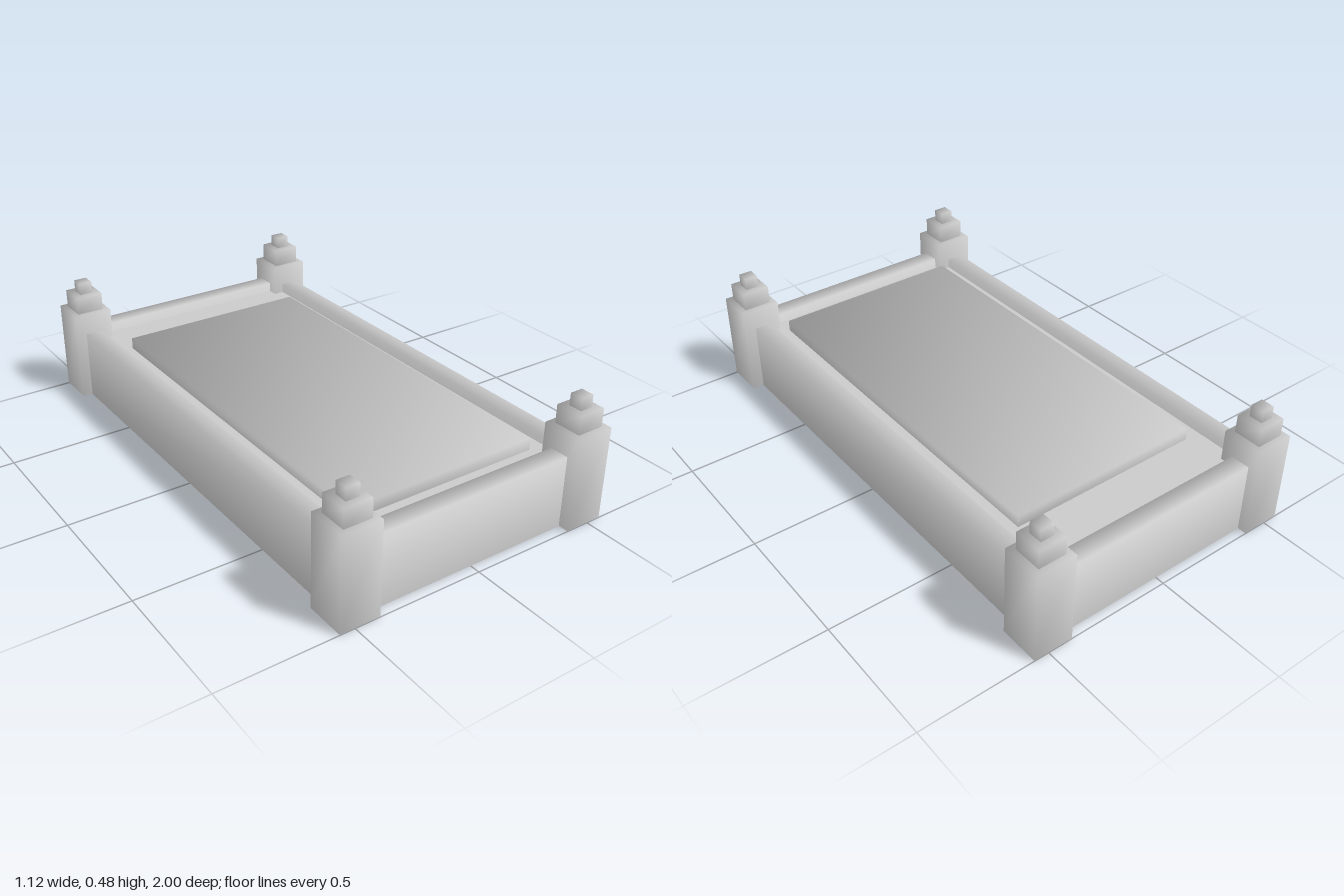
import * as THREE from 'three';

const material = new THREE.MeshStandardMaterial({ color: 0xcccccc, side: THREE.DoubleSide });

// Order of the sides in a BoxGeometry: six indices each
const SIDES = ['+x', '-x', '+y', '-y', '+z', '-z'];

// Hollow box between two corners without the listed sides, shaded smoothly over its edges
function shell(name, [x0, y0, z0], [x1, y1, z1], open) {
  const geo = new THREE.BoxGeometry(x1 - x0, y1 - y0, z1 - z0);
  const index = Array.from(geo.index.array);
  geo.setIndex(index.filter((_, i) => !open.includes(SIDES[Math.floor(i / 6)])));

  // each corner's normal is the mean of the sides that meet there
  const { position, normal } = geo.attributes;
  const n = new THREE.Vector3();
  const part = (value, axis) => {
    const sign = value > 0 ? 1 : -1;
    return open.includes((sign > 0 ? '+' : '-') + axis) ? 0 : sign;
  };
  for (let i = 0; i < position.count; i++) {
    n.set(part(position.getX(i), 'x'), part(position.getY(i), 'y'), part(position.getZ(i), 'z'));
    n.normalize();
    normal.setXYZ(i, n.x, n.y, n.z);
  }

  geo.translate((x0 + x1) / 2, (y0 + y1) / 2, (z0 + z1) / 2);
  const mesh = new THREE.Mesh(geo, material);
  mesh.name = name;
  return mesh;
}

// Corner post: a hollow shaft with two stepped caps
function createPost(x, z) {
  const post = new THREE.Group();
  post.name = 'cornerPost';
  const tiers = [
    ['postShaft', 0.077, 0.002, 0.362],
    ['postCap', 0.054, 0.362, 0.433],
    ['postFinial', 0.026, 0.433, 0.48],
  ];
  for (const [name, r, y0, y1] of tiers) {
    post.add(shell(name, [-r, y0, -r], [r, y1, r], ['-y']));
  }
  post.position.set(x, 0, z);
  return post;
}

export function createModel() {
  const model = new THREE.Group();
  model.name = 'postedFrame';

  for (const x of [-0.481, 0.481]) {
    for (const z of [-0.923, 0.923]) model.add(createPost(x, z));
  }

  // Low walls between the posts, open below and at both ends
  const openX = ['-y', '+x', '-x'];
  const openZ = ['-y', '+z', '-z'];
  model.add(shell('frontWall', [-0.412, 0, 0.885], [0.412, 0.278, 0.96], openX));
  model.add(shell('backWall', [-0.412, 0, -0.965], [0.412, 0.278, -0.89], openX));
  model.add(shell('leftWall', [0.445, 0, -0.87], [0.513, 0.278, 0.86], openZ));
  model.add(shell('rightWall', [-0.518, 0, -0.87], [-0.45, 0.278, 0.86], openZ));

  // Sunken floor sheet
  const floor = new THREE.Mesh(new THREE.PlaneGeometry(0.905, 1.785), material);
  floor.name = 'floor';
  floor.rotation.x = -Math.PI / 2;
  floor.position.set(-0.002, 0.24, -0.002);
  model.add(floor);

  // Slab resting in the floor
  model.add(shell('slab', [-0.387, 0.235, -0.693], [0.382, 0.285, 0.808], ['-y']));

  return model;
}
